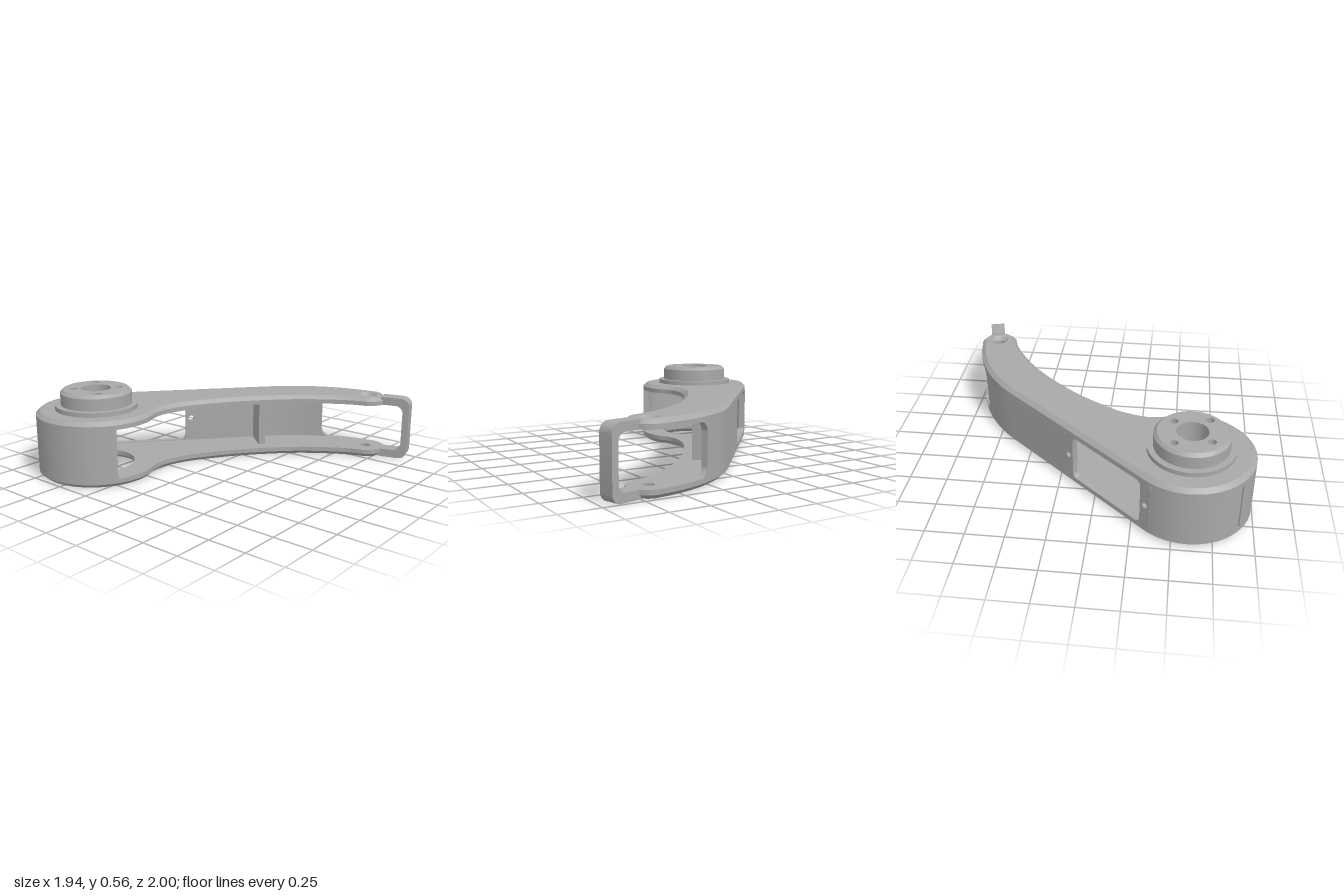
import * as THREE from 'three';
import { toCreasedNormals } from 'three/addons/utils/BufferGeometryUtils.js';

const V = (x, y) => new THREE.Vector2(x, y);
const HUB = V(-0.57, 0.595), HUB_R = 0.4;      // large round end (x, z)
const TIP = V(0.66, -0.87), TIP_R = 0.13;      // small round end
const BEND = V(0.758, 0.049), BEND_R = 1.05;   // centre of the curved back
const TANGENT = 3.852;                         // angle where hub meets the straight back
const LOW = 0.055, HIGH = 0.38, TOP = 0.435, WALL = 0.04;

// Points on a circular arc in the plan (x, z)
function arc(c, r, a0, a1, n) {
  return Array.from({ length: n + 1 }, (_, i) => {
    const a = a0 + (a1 - a0) * i / n;
    return V(c.x + r * Math.cos(a), c.y + r * Math.sin(a));
  });
}

function circleHole(x, y, r, n = 32) {
  return new THREE.Path(arc(V(x, y), r, 0, Math.PI * 2 * (1 - 1 / n), n - 1));
}

function roundedRect(path, x0, y0, x1, y1, r) {
  path.moveTo(x0 + r, y0);
  path.lineTo(x1 - r, y0).absarc(x1 - r, y0 + r, r, -Math.PI / 2, 0);
  path.lineTo(x1, y1 - r).absarc(x1 - r, y1 - r, r, 0, Math.PI / 2);
  path.lineTo(x0 + r, y1).absarc(x0 + r, y1 - r, r, Math.PI / 2, Math.PI);
  path.lineTo(x0, y0 + r).absarc(x0 + r, y0 + r, r, Math.PI, Math.PI * 1.5);
  return path;
}

export function createModel() {
  const group = new THREE.Group();
  const grey = new THREE.MeshStandardMaterial({ color: 0xa8a8a8 });
  grey.name = 'metal grey';

  function add(name, geometry, parent = group) {
    const mesh = new THREE.Mesh(toCreasedNormals(geometry, 0.4), grey);
    mesh.name = name;
    parent.add(mesh);
    return mesh;
  }
  const extrude = (shape, depth) =>
    new THREE.ExtrudeGeometry(shape, { depth, bevelEnabled: false, curveSegments: 10 });
  // Extrude a plan shape upright between two heights
  const upright = (shape, y0, y1) =>
    extrude(shape, y1 - y0).rotateX(Math.PI / 2).translate(0, y1, 0);

  // Arm outline: hub, straight back, curved back, tip, concave front
  const concave = new THREE.SplineCurve([
    V(0.714, -0.752), V(0.56, -0.69), V(0.296, -0.503), V(0.03, -0.21),
    V(-0.155, 0.08), V(-0.215, 0.24), V(-0.228, 0.34), V(-0.212, 0.42), V(-0.188, 0.476),
  ]).getPoints(48);
  const outline = [
    ...arc(HUB, HUB_R, -0.3, TANGENT, 56),
    ...arc(BEND, BEND_R, TANGENT, 4.606, 20),
    ...arc(TIP, TIP_R, 4.64, 7.42, 24),
    ...concave.slice(1, -1),
  ];

  // Cover plates, chamfered on the outer face only
  function plate(name, hubHole, isTop) {
    const shape = new THREE.Shape(outline);
    shape.holes.push(circleHole(HUB.x, HUB.y, hubHole, 56), circleHole(TIP.x, TIP.y, 0.036));
    const depth = 0.03;
    const geo = new THREE.ExtrudeGeometry(shape, {
      depth, bevelThickness: 0.025, bevelSize: 0.028, bevelOffset: -0.028, bevelSegments: 1,
    });
    const p = geo.attributes.position;
    for (let i = 0; i < p.count; i++) {
      const z = p.getZ(i);
      p.setZ(i, isTop ? Math.min(z, depth) : Math.max(z, 0));
    }
    geo.rotateX(Math.PI / 2).translate(0, isTop ? HIGH + depth : LOW, 0);
    add(name, geo);
  }
  plate('bottomPlate', 0.24, false);
  plate('topPlate', 0.19, true);

  // Curved side walls, with a narrow slit in the hub
  function curvedWall(name, c, r, a0, a1, n) {
    const band = [...arc(c, r, a0, a1, n), ...arc(c, r - WALL, a1, a0, n)];
    add(name, upright(new THREE.Shape(band), LOW, HIGH));
  }
  curvedWall('hubWallFront', HUB, HUB_R, 0.426, 2.24, 32);
  curvedWall('hubWallSide', HUB, HUB_R, 2.28, TANGENT - 0.1, 28);
  curvedWall('bendWall', BEND, BEND_R, TANGENT, 4.24, 14);

  // Straight back wall: local x runs along it, local z points inward
  const back = new THREE.Group();
  back.name = 'straightBack';
  const start = arc(HUB, HUB_R, TANGENT, TANGENT, 1)[0];
  back.position.set(start.x, 0, start.y);
  back.rotation.y = Math.atan2(0.758, 0.652);
  group.add(back);
  const panel = new THREE.Shape([V(-0.04, LOW), V(1.28, LOW), V(1.28, HIGH), V(-0.04, HIGH)]);
  panel.holes.push(
    roundedRect(new THREE.Path(), 0.04, LOW + 0.004, 0.646, HIGH - 0.004, 0.035),
    circleHole(0, 0.22, 0.02, 20), circleHole(0.686, 0.22, 0.02, 20));
  add('windowPanel', extrude(panel, WALL), back);
  add('rib', new THREE.BoxGeometry(0.047, HIGH - LOW, 0.21)
    .translate(1.1765, (LOW + HIGH) / 2, 0.133), back);

  // Fillets where the back wall ends at the tip opening
  const endPoint = arc(BEND, BEND_R, 4.24, 4.24, 1)[0];
  for (const [name, y, s] of [['lowerFillet', LOW, 1], ['upperFillet', HIGH, -1]]) {
    const r = 0.055;
    const shape = new THREE.Shape();
    shape.moveTo(0, y);
    shape.lineTo(r, y);
    shape.quadraticCurveTo(r * 0.2, y + s * r * 0.2, 0, y + s * r);
    const fillet = add(name, extrude(shape, WALL));
    fillet.position.set(endPoint.x, 0, endPoint.y);
    fillet.rotation.y = Math.atan2(0.455, 0.89);
  }

  // Hub boss: stepped rim around a drilled face
  const rim = [[0.21, 0.43], [0.275, 0.43], [0.275, 0.465], [0.236, 0.465], [0.236, 0.545], [0.216, 0.565]];
  add('bossRim', new THREE.LatheGeometry(rim.map(([r, y]) => V(r, y)), 64)
    .translate(HUB.x, 0, HUB.y));
  const face = new THREE.Shape(arc(HUB, 0.216, 0, Math.PI * 2 * 63 / 64, 63));
  face.holes.push(circleHole(HUB.x, HUB.y, 0.098, 40));
  for (const [dx, dz] of [[-0.128, -0.108], [0.096, -0.115], [-0.096, 0.115], [0.128, 0.105]]) {
    face.holes.push(circleHole(HUB.x + dx, HUB.y + dz, 0.026, 20));
  }
  add('bossFace', upright(face, HIGH - 0.001, 0.565));

  // C-shaped end bracket, rounded at its outer corners
  const L = 0.286, R = 0.06, r = 0.05, u0 = 0.085, inner = L - 0.045;
  const c = new THREE.Shape();
  c.moveTo(u0, 0);
  c.lineTo(L - R, 0).absarc(L - R, R, R, -Math.PI / 2, 0);
  c.lineTo(L, TOP - R).absarc(L - R, TOP - R, R, 0, Math.PI / 2);
  c.lineTo(u0, TOP).lineTo(u0, HIGH);
  c.lineTo(inner - r, HIGH).absarc(inner - r, HIGH - r, r, Math.PI / 2, 0, true);
  c.lineTo(inner, LOW + r).absarc(inner - r, LOW + r, r, 0, -Math.PI / 2, true);
  c.lineTo(u0, LOW);
  const bracket = add('endBracket', extrude(c, 0.1).translate(0, 0, -0.05));
  bracket.position.set(0.68, 0, -0.88);
  bracket.rotation.y = Math.asin(0.252);

  return group;
}
